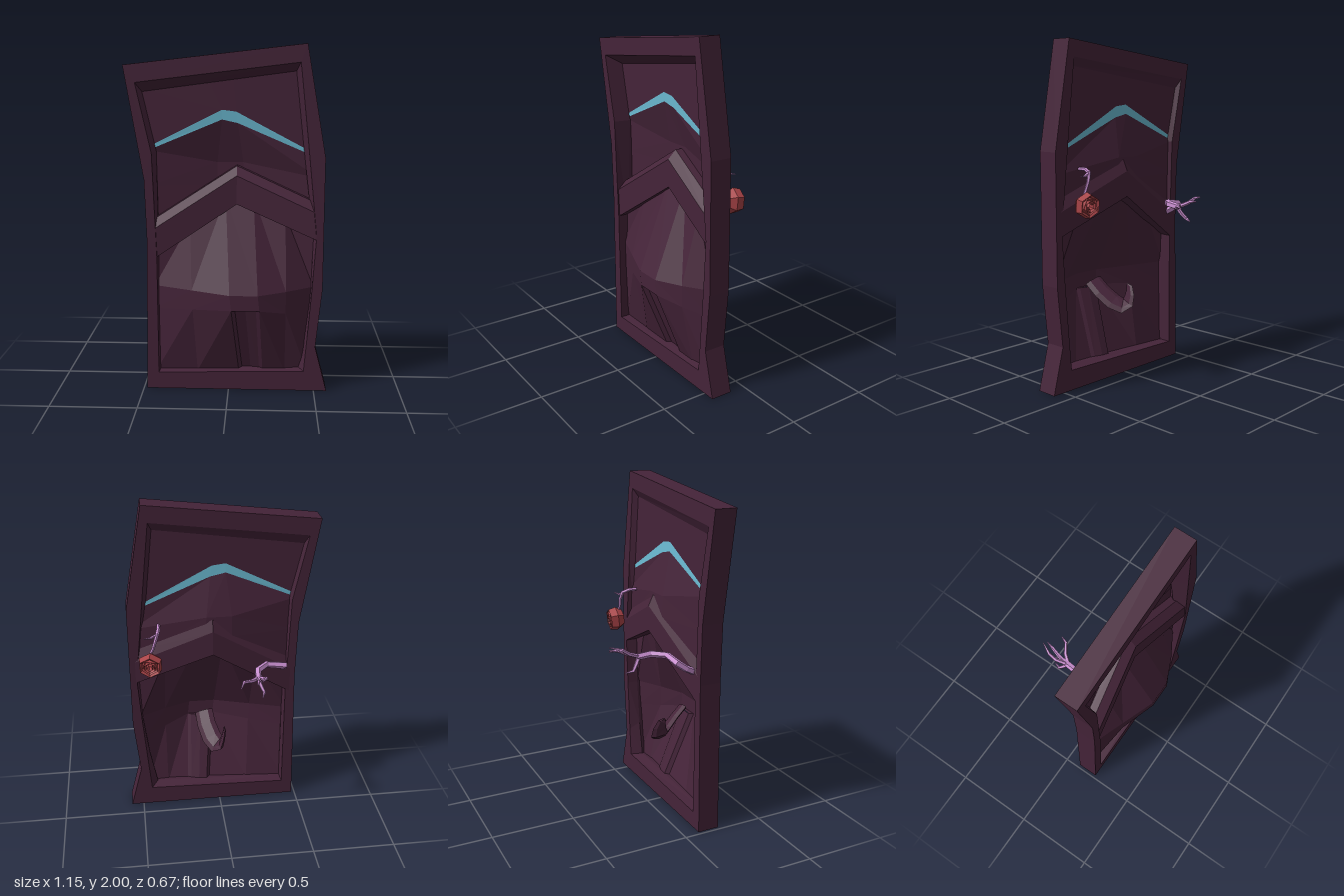
import * as THREE from 'three';

const mat = (color) => new THREE.MeshStandardMaterial({ color, flatShading: true, side: THREE.DoubleSide });
const V = (p) => new THREE.Vector3(...p);

// Skin a series of cross-sections; each section is a list of [x, y, z] points
function loft(sections, closed = true) {
  const pos = [];
  for (let i = 0; i < sections.length - 1; i++) {
    const r = sections[i], s = sections[i + 1], n = r.length;
    for (let j = 0; j < (closed ? n : n - 1); j++) {
      const k = (j + 1) % n;
      pos.push(...r[j], ...r[k], ...s[k], ...r[j], ...s[k], ...s[j]);
    }
  }
  const g = new THREE.BufferGeometry();
  g.setAttribute('position', new THREE.Float32BufferAttribute(pos, 3));
  g.computeVertexNormals();
  return g;
}

// Tapered, angular limb through points, with one radius per point
function limb(points, radii, sides = 5, flat = 1) {
  const pts = points.map(V);
  const q = new THREE.Quaternion();
  let prev = new THREE.Vector3(0, 0, 1);
  const sections = pts.map((p, i) => {
    const a = pts[Math.max(i - 1, 0)], b = pts[Math.min(i + 1, pts.length - 1)];
    const t = b.clone().sub(a).normalize();
    q.premultiply(new THREE.Quaternion().setFromUnitVectors(prev, t));
    prev = t;
    return Array.from({ length: sides }, (_, j) => {
      const w = (j / sides) * Math.PI * 2;
      return new THREE.Vector3(Math.cos(w), Math.sin(w) * flat, 0)
        .multiplyScalar(radii[i]).applyQuaternion(q).add(p).toArray();
    });
  });
  const last = sections[sections.length - 1];
  sections.push(last.map(() => pts[pts.length - 1].toArray()));
  return loft(sections);
}

export function createModel() {
  const root = new THREE.Group();
  const wood = mat(0x452439), bark = mat(0xc98fd0), glow = mat(0x6cbcd4), red = mat(0xa84347);
  const add = (name, geo, material, parent = root) => {
    const m = new THREE.Mesh(geo, material);
    m.name = name;
    parent.add(m);
    return m;
  };
  const BACK = 0.095, FRONT = 0.225;

  // Crooked door frame; the opening is bevelled at the top and right, square at the lower left
  const outer = [[-.48, 0], [.575, 0], [.505, .27], [.54, .62], [.54, 1], [.54, 1.38], [.43, 2], [-.58, 1.885], [-.475, 1.25], [-.465, .9]];
  const inner = [[-.41, .1], [.44, .12], [.455, .3], [.48, .62], [.5, .93], [.445, 1.45], [.395, 1.9], [-.515, 1.79], [-.43, 1.4], [-.41, .8]];
  const mid = [[-.405, .103, .16], [.4, .13, .16], [.44, .34, .16], [.475, .62, .16], [.485, .9, .16],
    [.42, 1.45, .125], [.375, 1.85, .125], [-.49, 1.735, .125], [-.415, 1.4, .125], [-.405, .8, .16]];
  const at = (loop, z) => loop.map(([x, y]) => [x, y, z]);
  add('doorFrame', loft([at(outer, BACK), at(outer, FRONT), at(inner, FRONT), mid, at(inner, BACK), at(outer, BACK)]), wood);

  // Peaked crossbar, bowed toward the back at its middle
  const bar = [[-.45, .775, 1.0, .097], [.045, 1.1, 1.315, .03], [.52, .9, 1.105, .097]];
  add('crossbar', loft(bar.map(([x, lo, hi, z]) =>
    [[x, lo, z], [x, hi - .065, z], [x, hi, z + .03], [x, hi, z + .075], [x, hi - .05, z + .126], [x, lo, z + .126]])), wood);

  // Upper panel with a centre strip, tucked into the frame bevel
  const slitTop = [[-.46, 1.425, .125], [-.04, 1.635, .125], [.04, 1.625, .125], [.47, 1.398, .125]];
  const slitBottom = [[-.46, 1.405, .125], [-.04, 1.58, .122], [.05, 1.56, .122], [.47, 1.38, .125]];
  add('upperPanel', loft([
    [[-.51, 1.76, .125], [-.12, 1.81, .125], [.02, 1.83, .125], [.4, 1.88, .125]], slitTop,
  ], false), wood);

  // Bright sliver between the panels
  add('glowingSlit', loft([slitTop, slitBottom], false), glow);

  // Middle panel, hollowed toward the back
  add('middlePanel', loft([
    slitBottom,
    [[-.45, 1.2, .125], [-.07, 1.33, .062], [.08, 1.33, .062], [.51, 1.25, .125]],
    [[-.44, .97, .125], [-.07, 1.2, .06], [.09, 1.2, .06], [.51, 1.06, .125]],
  ], false), wood);

  // Lower panel: two planks swelling out of the front, and a centre plank that sinks below the ridge
  const centre = [[-.02, .14, 1.14, .1], [.01, .17, .61, .335], [.02, .18, .52, .335], [.06, .2, .1, .18]];
  const sides = [
    [[-.43, .83, .165], [-.43, .62, .175], [-.43, .48, .175], [-.43, .09, .165]],
    [[.51, .93, .165], [.49, .62, .17], [.48, .45, .17], [.46, .1, .165]],
  ];
  sides.forEach((edge, s) => add('lowerPlank', loft(centre.map((c, i) => {
    const a = [c[s], c[2], c[3]], b = edge[i];
    // the model's left plank is slightly swollen
    const m = [(a[0] + b[0]) / 2, (a[1] + b[1]) / 2, (a[2] + b[2]) / 2 + s * .01];
    return [a, m, b];
  }), false), wood));
  add('centrePlank', loft(centre.slice(0, 3).map(([l, r, y, z]) => [[l, y, z], [r, y, z]]), false), wood);
  add('sunkenPlank', loft(centre.slice(2).map(([l, r, y, z]) =>
    [[l, y, z], [l + .02, y, z - .025], [(l + r) / 2, y, z - .025], [r - .02, y, z - .012], [r, y, z]]), false), wood);
  add('plankStep', loft([[[.02, .52, .335], [.18, .52, .335]], [[.04, .52, .31], [.16, .52, .323]]], false), wood);

  // Curled handle reaching out of the hollow at the back
  add('curledHandle', limb(
    [[.08, .56, .29], [.07, .5, .22], [.045, .445, .15], [.015, .42, .1], [-.01, .44, .078], [-.02, .485, .074], [-.03, .53, .085], [-.03, .545, .105]],
    [.058, .06, .062, .06, .054, .042, .028, .01], 6, .3), wood);

  // Branch arm with a clawing hand
  const arm = new THREE.Group();
  arm.name = 'branchArm';
  root.add(arm);
  add('forearm', limb(
    [[-.385, .96, .1], [-.385, .985, .05], [-.38, 1.02, 0], [-.27, 1.04, -.01], [-.205, 1.04, -.08], [-.195, 1.03, -.165]],
    [.021, .021, .022, .02, .021, .02]), bark, arm);
  const fingers = [
    [[-.222, 1.06, -.22], [-.222, 1.09, -.265], [-.19, 1.105, -.33]],
    [[-.19, 1.055, -.22], [-.178, 1.075, -.27], [-.165, 1.08, -.32]],
    [[-.155, 1.04, -.2], [-.1, 1.055, -.235], [-.078, 1.04, -.282]],
    [[-.21, .99, -.175], [-.225, .96, -.2], [-.21, .948, -.24]],
  ];
  for (const f of fingers) add('finger', limb([[-.195, 1.03, -.15], ...f], [.013, .012, .01, .003], 5), bark, arm);

  // Small twig holding the flower
  add('flowerTwig', limb(
    [[.36, 1.28, .1], [.36, 1.28, .05], [.37, 1.265, .01], [.385, 1.22, 0], [.4, 1.17, .005], [.43, 1.12, 0]],
    [.011, .011, .012, .01, .009, .007]), bark);
  add('twigSpur', limb([[.37, 1.265, .01], [.41, 1.245, .005], [.45, 1.25, -.01]], [.008, .007, .002], 4), bark);

  // Rose of nested, twisted petal cups facing the back
  const rose = new THREE.Group();
  rose.name = 'rose';
  rose.position.set(.417, 1.088, -.018);
  rose.rotation.set(-Math.PI / 2 - .1, 0, -.15);
  root.add(rose);
  const cup = [[0, -.05], [.05, -.045], [.075, -.005], [.066, .04], [.052, .03], [.04, -.02]];
  for (let i = 0; i < 4; i++) {
    const s = 1 - i * .24;
    const g = new THREE.LatheGeometry(cup.map(([r, y]) => new THREE.Vector2(r * s, y * (1 - i * .1) + i * .006)), 6 - (i % 2));
    g.rotateY(i * .55);
    add('petalLayer', g, red, rose);
  }
  return root;
}
